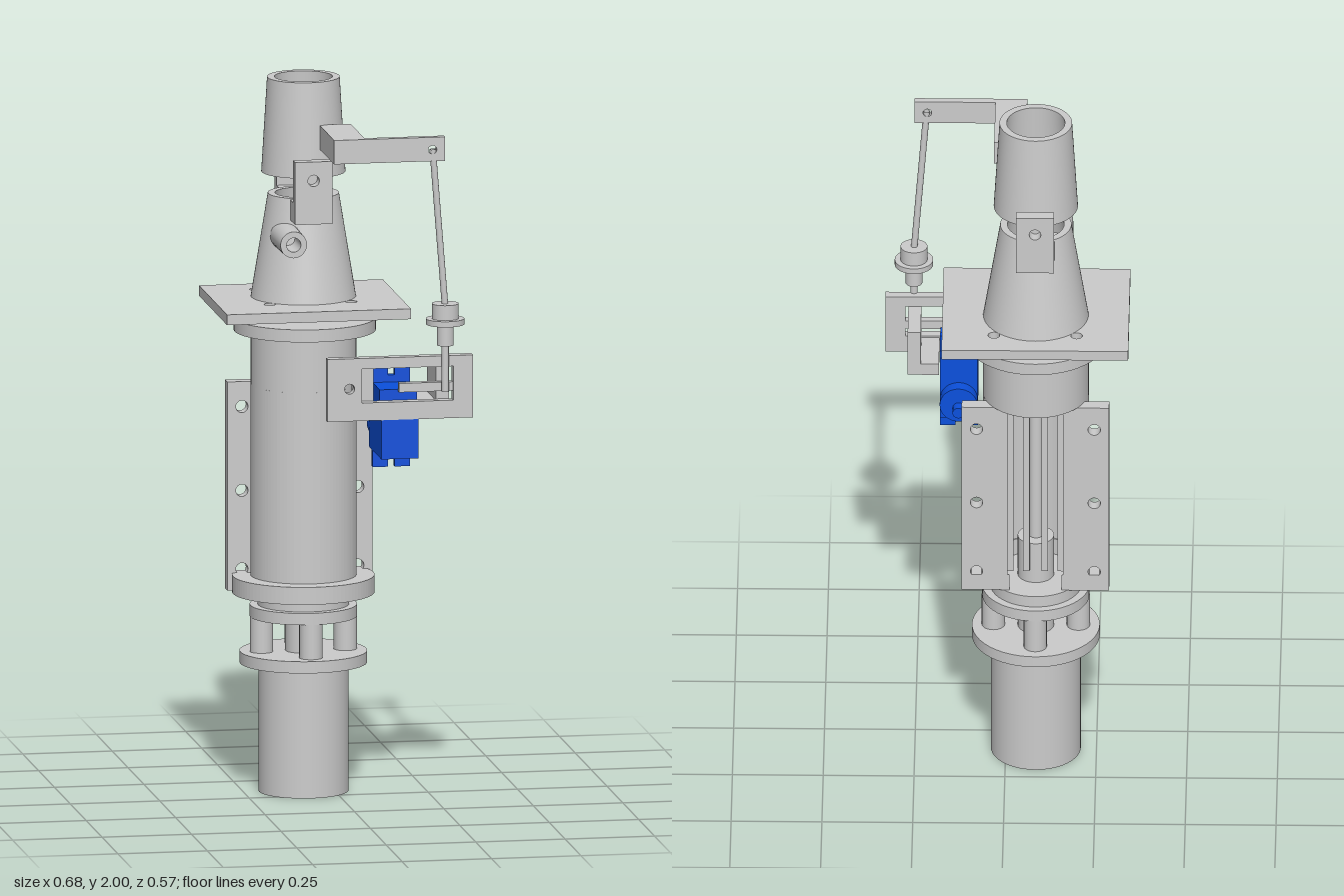
import * as THREE from 'three';

const grey = new THREE.MeshStandardMaterial({ color: 0xcccccc, side: THREE.DoubleSide });
const blue = new THREE.MeshStandardMaterial({ color: 0x0b50dd });
const CX = -0.083, CZ = -0.088; // main axis

export function createModel() {
  const root = new THREE.Group();

  const add = (name, geo, mat = grey) => {
    const m = new THREE.Mesh(geo, mat);
    m.name = name;
    root.add(m);
    return m;
  };
  const box = (name, x0, x1, y0, y1, z0, z1, mat) =>
    add(name, new THREE.BoxGeometry(x1 - x0, y1 - y0, z1 - z0), mat)
      .position.set((x0 + x1) / 2, (y0 + y1) / 2, (z0 + z1) / 2);
  const cyl = (name, r, y0, y1, x = CX, z = CZ, seg = 48) =>
    add(name, new THREE.CylinderGeometry(r, r, y1 - y0, seg)).position.set(x, (y0 + y1) / 2, z);
  const cylZ = (name, r0, r1, z0, z1, x, y, mat) => {
    const g = new THREE.CylinderGeometry(r1, r0, z1 - z0, 32).rotateX(Math.PI / 2);
    add(name, g, mat).position.set(x, y, (z0 + z1) / 2);
  };
  const hole = (x, y, r) => new THREE.Path().absarc(x, y, r, 0, Math.PI * 2, true);
  const rect = (x0, x1, y0, y1, Type = THREE.Shape) =>
    new Type([[x0, y0], [x1, y0], [x1, y1], [x0, y1]].map(p => new THREE.Vector2(...p)));
  const extrude = (shape, depth) =>
    new THREE.ExtrudeGeometry(shape, { depth, bevelEnabled: false, curveSegments: 32 });
  // flat panel facing z
  const panel = (name, shape, z0, z1, mat) => { add(name, extrude(shape, z1 - z0), mat).position.z = z0; };
  // slab lying flat; shape y points to -z
  const slab = (name, shape, y0, y1, x = CX, z = CZ) =>
    add(name, extrude(shape, y1 - y0).rotateX(-Math.PI / 2)).position.set(x, y0, z);
  // hollow ring whose back is cut off flat
  const cutRing = (R, r, cut = 0.09) => {
    const a = Math.asin(cut / R), b = Math.asin(cut / r), s = new THREE.Shape();
    s.absarc(0, 0, R, Math.PI - a, Math.PI * 2 + a, false);
    s.absarc(0, 0, r, Math.PI * 2 + b, Math.PI - b, true);
    s.closePath();
    return s;
  };
  // hollow cone
  const cone = (name, y0, r0, y1, r1, wall) => {
    const pts = [[r0 - wall, y0], [r0, y0], [r0, y0], [r1, y1], [r1, y1], [r1 - wall, y1], [r1 - wall, y1], [r0 - wall, y0]];
    const g = new THREE.LatheGeometry(pts.map(p => new THREE.Vector2(...p)), 64);
    add(name, g).position.set(CX, 0, CZ);
  };

  // motor, standoffs and coupling
  cyl('motor', 0.124, 0, 0.36);
  cyl('motorFlange', 0.176, 0.36, 0.393);
  for (let i = 0; i < 4; i++) {
    const a = i * Math.PI / 2;
    cyl('standoff', 0.032, 0.393, 0.49, CX + 0.117 * Math.cos(a), CZ + 0.117 * Math.sin(a), 24);
  }
  cyl('coupling', 0.05, 0.393, 0.68);
  cyl('upperMotorFlange', 0.148, 0.49, 0.523);
  cyl('spacer', 0.126, 0.523, 0.556);
  cyl('driveShaft', 0.018, 0.68, 1.6);

  // open-backed housing
  slab('housingBaseRing', cutRing(0.196, 0.115), 0.556, 0.605);
  slab('housingTube', cutRing(0.146, 0.118), 0.605, 1.14);
  cyl('housingCollar', 0.146, 1.14, 1.295);
  cyl('housingTopFlange', 0.196, 1.295, 1.33, CX, -0.067);
  for (const s of [-1, 1]) {
    const plate = rect(CX + s * 0.112, CX + s * 0.203, 0.556, 1.14);
    for (const y of [0.615, 0.835, 1.07]) plate.holes.push(hole(CX + s * 0.162, y, 0.017));
    panel('mountingPlate', plate, -0.178, -0.142);
    for (const dx of [0.025, 0.07]) {
      const x = CX + s * dx;
      box('innerSlat', x - 0.009, x + 0.009, 0.6, 1.14, -0.15, -0.12);
    }
  }

  // square plate
  const base = rect(-0.257, 0.257, -0.247, 0.197);
  for (const sx of [-1, 1]) for (const sz of [-1, 1]) base.holes.push(hole(sx * 0.114, sz * 0.114, 0.016));
  slab('squarePlate', base, 1.357, 1.386);

  // cones and the vanes inside
  cone('lowerCone', 1.386, 0.145, 1.675, 0.098, 0.02);
  cone('upperCone', 1.735, 0.116, 2.0, 0.1, 0.02);
  cyl('hub', 0.042, 1.5, 1.58);
  for (let i = 0; i < 5; i++) {
    const g = new THREE.BoxGeometry(0.075, 0.06, 0.018).translate(0.072, 0, 0);
    const m = add('spoke', g);
    m.position.set(CX, 1.54, CZ);
    m.rotation.y = 0.37 + i * Math.PI * 0.4;
  }

  // pivot brackets front and back
  for (const s of [-1, 1]) {
    const b = rect(CX - 0.052, CX + 0.052, 1.615, 1.79);
    b.holes.push(hole(CX, 1.737, 0.016));
    const z = CZ + s * 0.146;
    panel('pivotBracket', b, z - 0.017, z + 0.017);
    const span = (y0, y1, d0, d1, w, name) => box(name, CX - w, CX + w, y0, y1,
      Math.min(CZ + s * d0, CZ + s * d1), Math.max(CZ + s * d0, CZ + s * d1));
    span(1.615, 1.672, 0.088, 0.13, 0.052, 'bracketFoot');
    span(1.7, 1.775, 0.105, 0.13, 0.03, 'pivotLug');
  }

  // side nozzle
  const nozzle = [[0.02, -0.03], [0.04, -0.03], [0.037, 0.116], [0.037, 0.116], [0.02, 0.116], [0.02, 0.116], [0.02, -0.03]];
  add('sideNozzle', new THREE.LatheGeometry(nozzle.map(p => new THREE.Vector2(...p)), 32).rotateX(Math.PI / 2))
    .position.set(-0.146, 1.567, 0);

  // steering arm and push rod
  box('armBlock', -0.055, 0.033, 1.813, 1.88, 0.004, 0.24);
  const arm = rect(0.033, 0.255, 1.813, 1.88);
  arm.holes.push(hole(0.22, 1.845, 0.012));
  panel('armBar', arm, 0.22, 0.24);
  const rod = new THREE.LineCurve3(new THREE.Vector3(0.222, 1.845, 0.23), new THREE.Vector3(0.257, 1.4, 0.23));
  add('pushRod', new THREE.TubeGeometry(rod, 1, 0.009, 12));
  cyl('jointCup', 0.037, 1.37, 1.412, 0.257, 0.23);
  cyl('jointDisc', 0.053, 1.354, 1.37, 0.257, 0.23);
  cyl('jointStem', 0.023, 1.295, 1.354, 0.257, 0.23);
  cyl('linkRod', 0.01, 1.165, 1.295, 0.257, 0.23, 16);

  // actuator frame
  const frame = rect(-0.072, 0.335, 1.09, 1.265);
  frame.holes.push(rect(0.025, 0.28, 1.14, 1.235, THREE.Path), hole(-0.01, 1.18, 0.014));
  panel('actuatorFrame', frame, 0.203, 0.23);
  box('frameSideWall', 0.025, 0.062, 1.1, 1.235, 0.062, 0.203);
  box('frameSideWall', 0.236, 0.272, 1.1, 1.235, 0.062, 0.203);
  box('frameShelf', 0.186, 0.236, 1.1, 1.135, 0.062, 0.203);
  box('servoHorn', 0.13, 0.28, 1.165, 1.19, 0.2, 0.222);

  // blue servo
  box('servoBody', 0.079, 0.183, 0.98, 1.17, 0.035, 0.202, blue);
  box('servoRear', 0.079, 0.183, 0.98, 1.1, 0.202, 0.229, blue);
  const ears = new THREE.Shape([
    [0.079, 0.933], [0.122, 0.933], [0.122, 0.96], [0.14, 0.96], [0.14, 0.933], [0.183, 0.933],
    [0.183, 1.218], [0.14, 1.218], [0.14, 1.19], [0.122, 1.19], [0.122, 1.218], [0.079, 1.218],
  ].map(p => new THREE.Vector2(...p)));
  panel('servoEars', ears, 0.074, 0.092, blue);
  cylZ('servoBoss', 0.052, 0.052, 0, 0.035, 0.131, 1.04, blue);
  cylZ('servoShaft', 0.016, 0.016, -0.03, 0, 0.131, 1.032, blue);

  return root;
}
